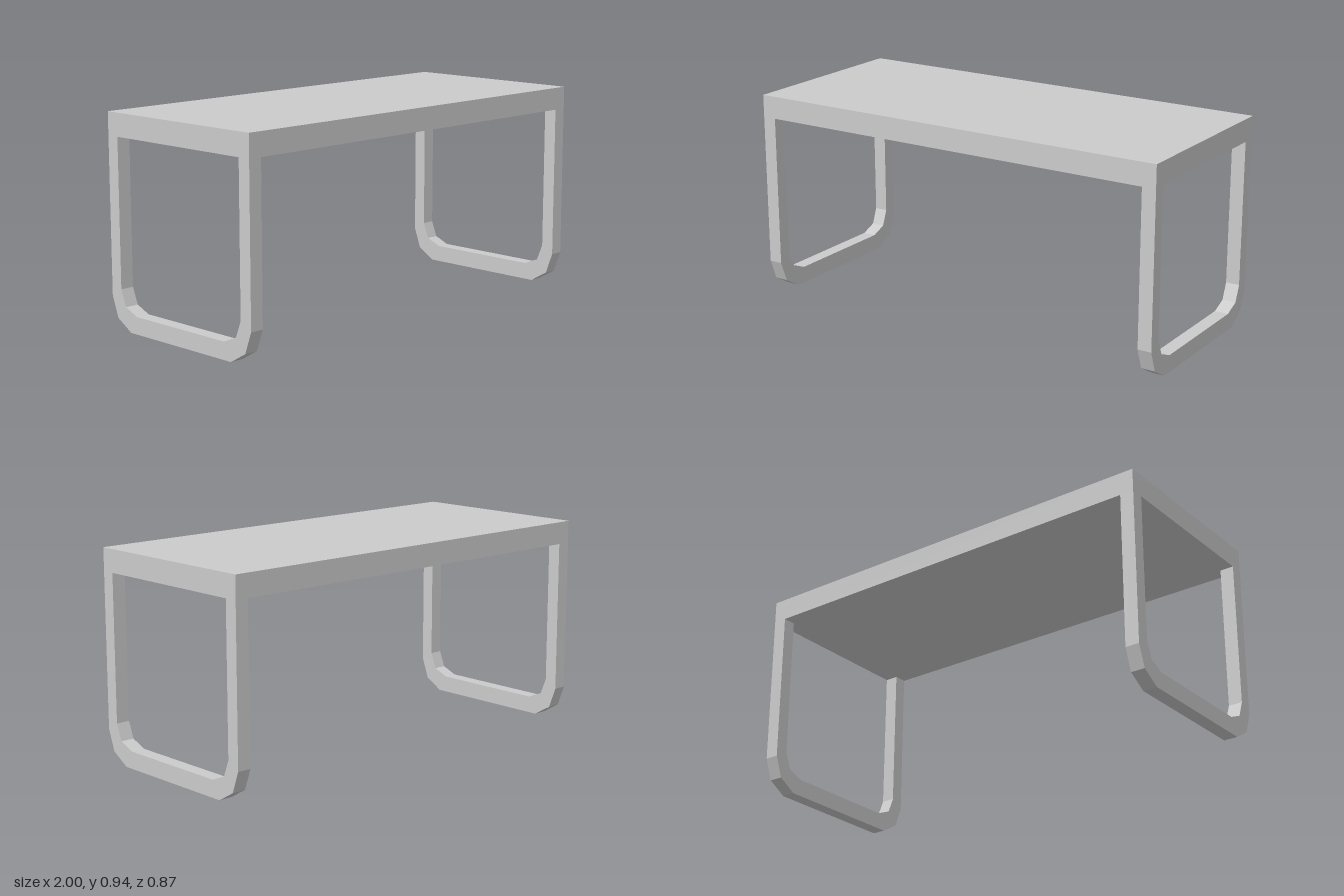
import * as THREE from 'three';

const TOP = 0.937, UNDER = 0.835, DEPTH = 0.87, LEG = 0.063;

export function createModel() {
  const group = new THREE.Group();
  group.name = 'bench';
  const material = new THREE.MeshStandardMaterial({ color: 0xcccccc, flatShading: true });

  // Flat slab top
  const top = new THREE.Mesh(new THREE.BoxGeometry(2, TOP - UNDER, DEPTH), material);
  top.name = 'tabletop';
  top.position.y = (TOP + UNDER) / 2;
  group.add(top);

  // U-shaped leg loop with chamfered lower corners: half profiles, mirrored
  const outer = [[0.435, UNDER], [0.435, 0.145], [0.4, 0.05], [0.315, 0]];
  const inner = [[0.375, UNDER], [0.375, 0.18], [0.346, 0.107], [0.274, 0.077]];
  const mirror = (half) => half.map(([z, y]) => [-z, y]).reverse();
  const outline = [...outer, ...mirror(outer), ...mirror(inner).reverse(), ...inner.slice().reverse()];
  const shape = new THREE.Shape(outline.map(([z, y]) => new THREE.Vector2(z, y)));
  const legGeometry = new THREE.ExtrudeGeometry(shape, { depth: LEG, bevelEnabled: false })
    .translate(0, 0, -LEG / 2)
    .rotateY(-Math.PI / 2);

  // One leg loop at each end
  for (const [name, side] of [['leftLeg', 1], ['rightLeg', -1]]) {
    const leg = new THREE.Mesh(legGeometry, material);
    leg.name = name;
    leg.position.x = side * (1 - LEG / 2);
    group.add(leg);
  }
  return group;
}
